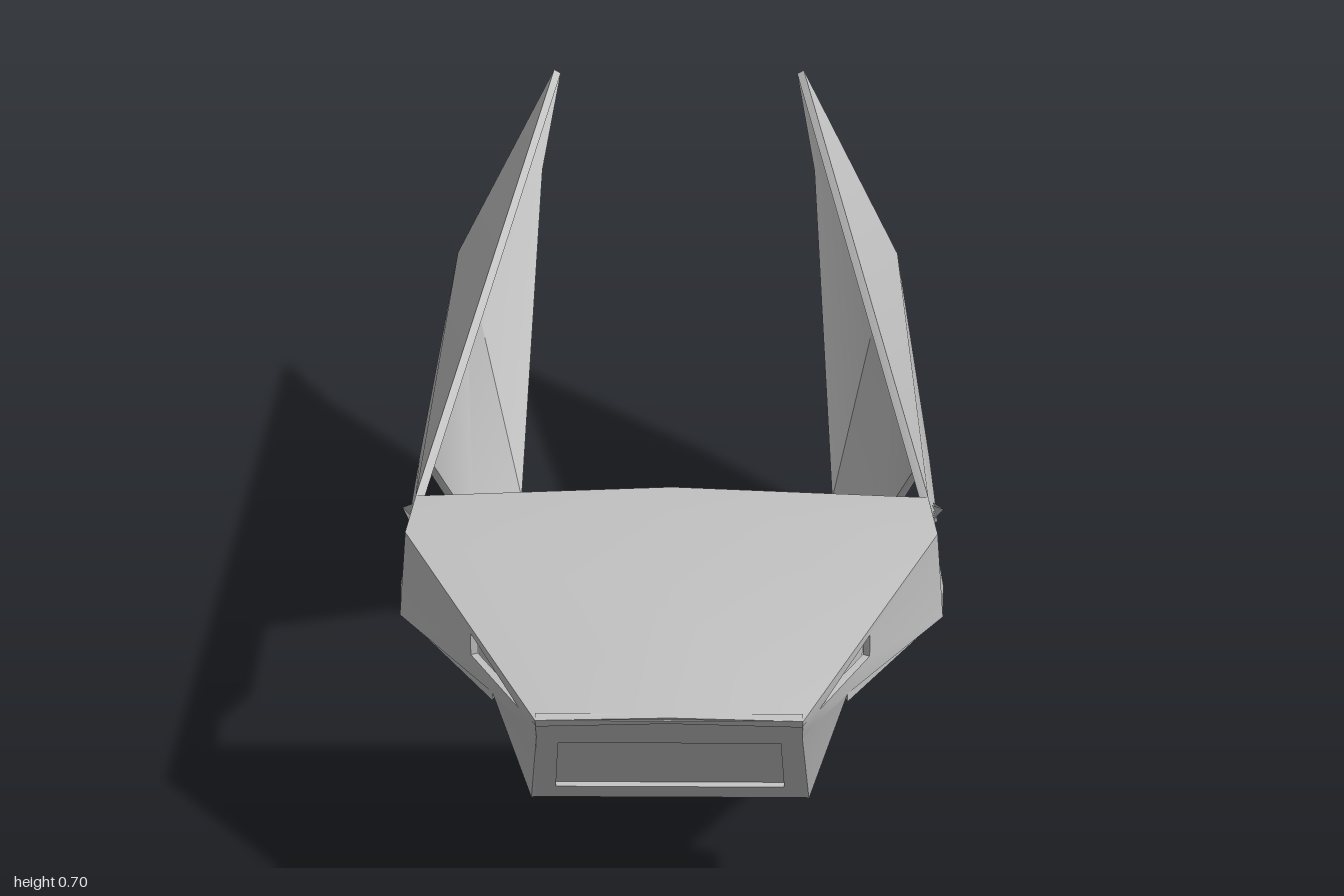
import * as THREE from 'three';
import { toCreasedNormals } from 'three/addons/utils/BufferGeometryUtils.js';

const grey = new THREE.MeshStandardMaterial({ color: 0xc0c0c0 });
grey.name = 'bodyGrey';

// Closed panel of even thickness grown inwards from an outer skin.
function panel(name, points, tris, thickness) {
  const skin = new THREE.BufferGeometry();
  skin.setAttribute('position', new THREE.Float32BufferAttribute(points.flat(), 3));
  skin.setIndex(tris.flat());
  skin.computeVertexNormals();
  const n = skin.attributes.normal;
  const count = points.length;
  const inner = points.map((p, i) => [
    p[0] - n.getX(i) * thickness,
    Math.max(0, p[1] - n.getY(i) * thickness),
    p[2] - n.getZ(i) * thickness,
  ]);
  const faces = [];
  const edges = new Set();
  for (const [a, b, c] of tris) {
    faces.push(a, b, c, a + count, c + count, b + count);
    for (const [i, j] of [[a, b], [b, c], [c, a]]) edges.add(i + '_' + j);
  }
  // walls along the open border
  for (const edge of edges) {
    const [a, b] = edge.split('_').map(Number);
    if (!edges.has(b + '_' + a)) faces.push(a, a + count, b + count, a, b + count, b);
  }
  const geometry = new THREE.BufferGeometry();
  geometry.setAttribute('position', new THREE.Float32BufferAttribute([...points, ...inner].flat(), 3));
  geometry.setIndex(faces);
  const mesh = new THREE.Mesh(toCreasedNormals(geometry, 0.7), grey);
  mesh.name = name;
  return mesh;
}

const flipPoints = (points) => points.map(([x, y, z]) => [-x, y, z]);
const flipTris = (tris) => tris.map(([a, b, c]) => [a, c, b]);

// The same panel on both sides.
function pair(group, name, points, tris, thickness) {
  group.add(panel('left' + name, points, tris, thickness));
  group.add(panel('right' + name, flipPoints(points), flipTris(tris), thickness));
}

// One panel made of a half and its mirror image, sharing the centre points.
function symmetric(name, points, tris, thickness) {
  const all = [...points];
  const twin = points.map(([x, y, z], i) => (x === 0 ? i : all.push([-x, y, z]) - 1));
  const mirrored = flipTris(tris).map((t) => t.map((i) => twin[i]));
  return panel(name, all, [...tris, ...mirrored], thickness);
}

export function createModel() {
  const group = new THREE.Group();
  group.name = 'bodyShell';

  // shared corners on the left
  const noseTop = [0.2, 0.405, 1];
  const noseLow = [0.2, 0.355, 0.96];
  const hoodCorner = [0.415, 0.53, 0.62];
  const hoodRear = [0.405, 0.54, 0.51];
  const cheekLow = [0.427, 0.385, 0.62];
  const cheekFront = [0.27, 0.382, 0.87];

  // hood
  group.add(symmetric('hood', [
    noseTop, [0, 0.41, 1], [0, 0.495, 0.8], [0, 0.552, 0.59], [0, 0.557, 0.51], hoodCorner, hoodRear,
  ], [[1, 0, 2], [0, 5, 2], [2, 5, 3], [5, 6, 3], [6, 4, 3]], 0.014));

  // side fairings with raised tail fins and lower legs
  pair(group, 'Fairing', [
    [0.235, 0.705, -1],     // 0 tail tip
    [0.405, 0.46, -0.69],   // 1 rear corner
    [0.3, 0.035, -0.525],   // 2 leg heel
    [0.285, 0, -0.16],      // 3 leg toe
    [0.305, 0.035, -0.09],  // 4
    [0.365, 0.19, -0.09],   // 5
    [0.433, 0.383, 0.03],   // 6 leg top
    [0.435, 0.385, 0.28],   // 7 notch
    [0.431, 0.405, 0.28],   // 8
    [0.423, 0.445, 0.33],   // 9
    [0.421, 0.458, 0.42],   // 10
    [0.424, 0.44, 0.545],   // 11
    [0.433, 0.385, 0.51],   // 12
    cheekLow, hoodCorner, hoodRear,
    [0.264, 0.545, -0.886], // 16 inner rear edge
  ], [
    [15, 1, 0], [15, 6, 1], [15, 7, 6], [15, 8, 7], [15, 9, 8], [15, 10, 9], [15, 11, 10],
    [15, 14, 11], [14, 13, 11], [13, 12, 11],
    [1, 6, 5], [1, 5, 2], [5, 4, 2], [4, 3, 2], [0, 1, 16], [16, 1, 2],
  ], 0.014);

  // cheeks with a lamp slot
  pair(group, 'Cheek', [
    noseTop, hoodCorner, cheekLow, cheekFront, noseLow,
    [0.305, 0.452, 0.81], [0.305, 0.415, 0.81], [0.225, 0.4, 0.955],
  ], [
    [1, 5, 2], [5, 6, 2], [6, 3, 2], [7, 3, 6], [7, 4, 3], [0, 4, 7], [0, 7, 5], [0, 5, 1],
  ], 0.012);

  // plates closing the lamp slots from behind
  pair(group, 'LampPlate', [
    [0.295, 0.455, 0.775], [0.295, 0.395, 0.775], [0.2, 0.385, 0.945], [0.2, 0.4, 0.945],
  ], [[0, 3, 2], [0, 2, 1]], 0.008);

  // nose band above the grille
  group.add(panel('noseBand', [
    noseTop, noseLow, ...flipPoints([noseTop, noseLow]),
  ], [[2, 3, 1], [2, 1, 0]], 0.012));

  // sloping grille frame and its recessed plate
  const onSlope = (x, y, depth = 0) => [x, y + depth * 0.6, 0.96 - ((0.355 - y) / 0.175) * 0.13 - depth * 0.8];
  const ring = [
    onSlope(0.2, 0.355), onSlope(-0.2, 0.355), onSlope(-0.215, 0.176), onSlope(0.215, 0.176),
    onSlope(0.168, 0.338), onSlope(-0.168, 0.338), onSlope(-0.176, 0.208), onSlope(0.176, 0.208),
  ];
  const ringTris = [];
  for (let i = 0; i < 4; i++) {
    const j = (i + 1) % 4;
    ringTris.push([i, j, j + 4], [i, j + 4, i + 4]);
  }
  group.add(panel('grilleFrame', ring, ringTris, 0.014));
  group.add(panel('grillePlate', [
    onSlope(0.17, 0.342, 0.008), onSlope(-0.17, 0.342, 0.008),
    onSlope(-0.18, 0.204, 0.008), onSlope(0.18, 0.204, 0.008),
  ], [[0, 1, 2], [0, 2, 3]], 0.006));

  // flanks of the chin
  pair(group, 'ChinFlank', [
    noseLow, [0.215, 0.176, 0.83], [0.215, 0.176, 0.75], [0.255, 0.375, 0.75], cheekFront,
  ], [[0, 1, 4], [1, 2, 3], [1, 3, 4]], 0.012);

  // ledges under the cheeks
  pair(group, 'Ledge', [
    cheekFront, [0.385, 0.382, 0.66], [0.33, 0.382, 0.64], [0.245, 0.382, 0.75],
  ], [[0, 1, 2], [0, 2, 3]], 0.014);

  return group;
}
